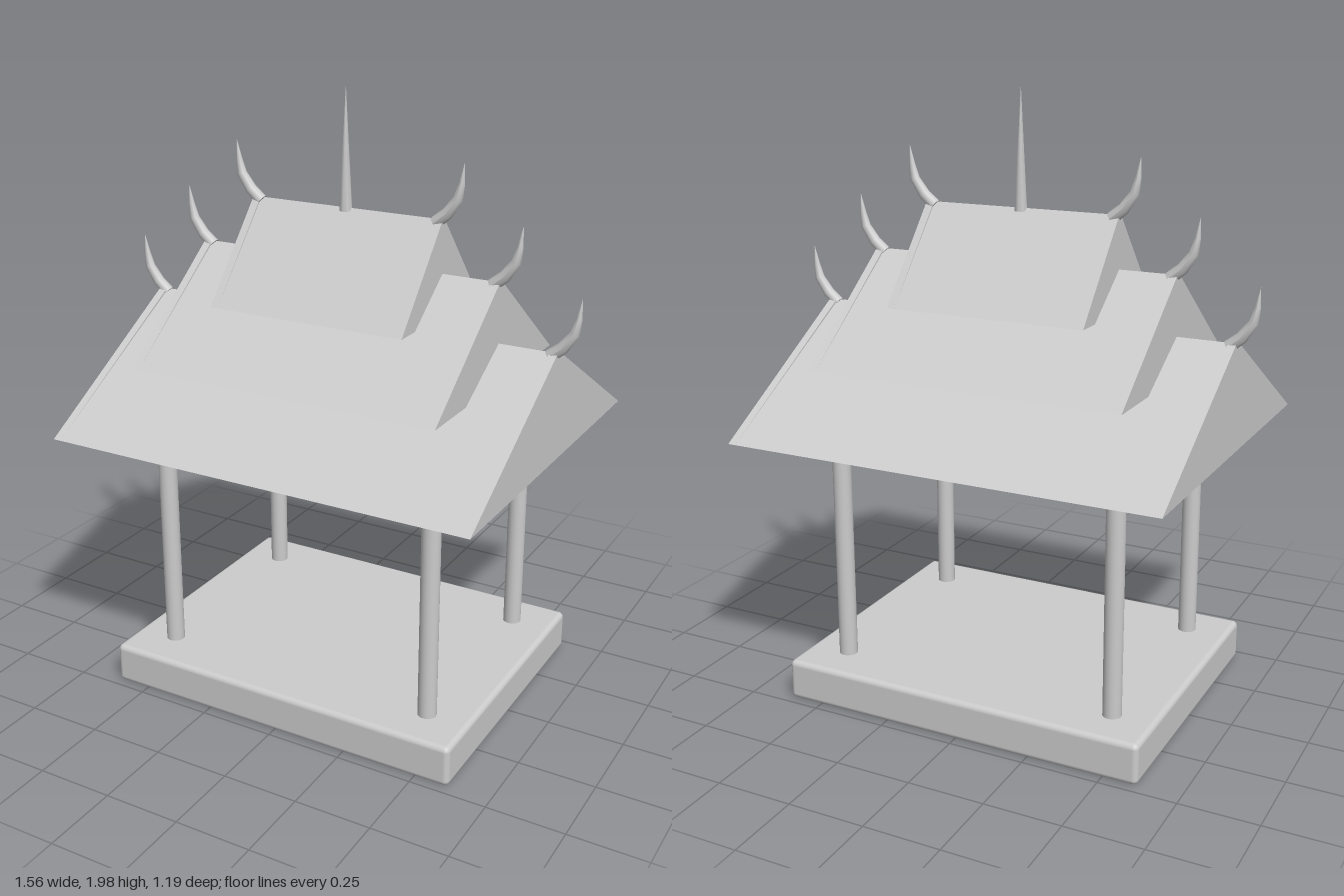
import * as THREE from 'three';
import { RoundedBoxGeometry } from 'three/addons/geometries/RoundedBoxGeometry.js';

export function createModel() {
  const model = new THREE.Group();
  model.name = 'pavilion';
  const stone = new THREE.MeshStandardMaterial({ color: 0xcccccc });
  stone.name = 'pale grey';

  function add(name, geometry, x = 0, y = 0, z = 0, parent = model) {
    const mesh = new THREE.Mesh(geometry, stone);
    mesh.name = name;
    mesh.position.set(x, y, z);
    parent.add(mesh);
    return mesh;
  }

  // Solid triangular prism whose ridge runs along x
  function gablePrism(length, halfDepth, height) {
    const shape = new THREE.Shape();
    shape.moveTo(-halfDepth, 0);
    shape.lineTo(halfDepth, 0);
    shape.lineTo(0, height);
    const g = new THREE.ExtrudeGeometry(shape, { depth: length, bevelEnabled: false });
    g.translate(0, 0, -length / 2);
    g.rotateY(Math.PI / 2);
    return g;
  }

  // Tapered horn curving outwards to +x and then up: [x, y, radius] per ring
  function hornGeometry() {
    const rings = [[-0.027, -0.012, 0.02], [0.012, 0.02, 0.019], [0.046, 0.068, 0.016], [0.056, 0.115, 0.01], [0.063, 0.174, 0.0005]];
    const last = rings.length - 1;
    const g = new THREE.CylinderGeometry(1, 1, 1, 8, last);
    const p = g.attributes.position;
    for (let i = 0; i < p.count; i++) {
      const k = Math.round((p.getY(i) + 0.5) * last);
      const [cx, cy, r] = rings[k];
      const a = rings[Math.max(k - 1, 0)], b = rings[Math.min(k + 1, last)];
      const dir = new THREE.Vector2(b[0] - a[0], b[1] - a[1]).normalize();
      const across = p.getX(i) * r;
      p.setXYZ(i, cx + dir.y * across, cy - dir.x * across, p.getZ(i) * r);
    }
    g.computeVertexNormals();
    return g;
  }

  // Base slab
  add('base', new RoundedBoxGeometry(1.23, 0.135, 0.95, 3, 0.018), 0, 0.0775, 0);

  // Four columns with capitals
  const shaft = new THREE.CylinderGeometry(0.03, 0.03, 0.78, 24);
  const capital = new THREE.CylinderGeometry(0.044, 0.044, 0.075, 24);
  for (const x of [-0.475, 0.475]) {
    for (const z of [-0.333, 0.333]) {
      const column = new THREE.Group();
      column.name = 'column';
      column.position.set(x, 0, z);
      model.add(column);
      add('columnShaft', shaft, 0, 0.53, 0, column);
      add('columnCapital', capital, 0, 0.8825, 0, column);
    }
  }

  // Three stacked roofs: half length, half depth, eave height, ridge height
  const horn = hornGeometry();
  const tiers = [
    [0.714, 0.596, 0.915, 1.26],
    [0.523, 0.429, 1.13, 1.449],
    [0.332, 0.265, 1.316, 1.615],
  ];
  for (const [halfLength, halfDepth, eave, ridge] of tiers) {
    const tier = new THREE.Group();
    tier.name = 'roofTier';
    model.add(tier);
    add('roof', gablePrism(halfLength * 2, halfDepth, ridge - eave), 0, eave, 0, tier);
    // Raised trim along each gable, tapering out at the eaves, and a ridge horn
    const trim = gablePrism(0.026, halfDepth, ridge - eave + 0.008);
    for (const side of [-1, 1]) {
      add('gableTrim', trim, side * (halfLength - 0.0125), eave, 0, tier);
      const finial = add('ridgeHorn', horn, side * halfLength, ridge, 0, tier);
      if (side < 0) finial.rotation.y = Math.PI;
    }
  }

  // Central spire
  add('spire', new THREE.ConeGeometry(0.021, 0.385, 8), 0, 1.7975, 0);

  return model;
}
